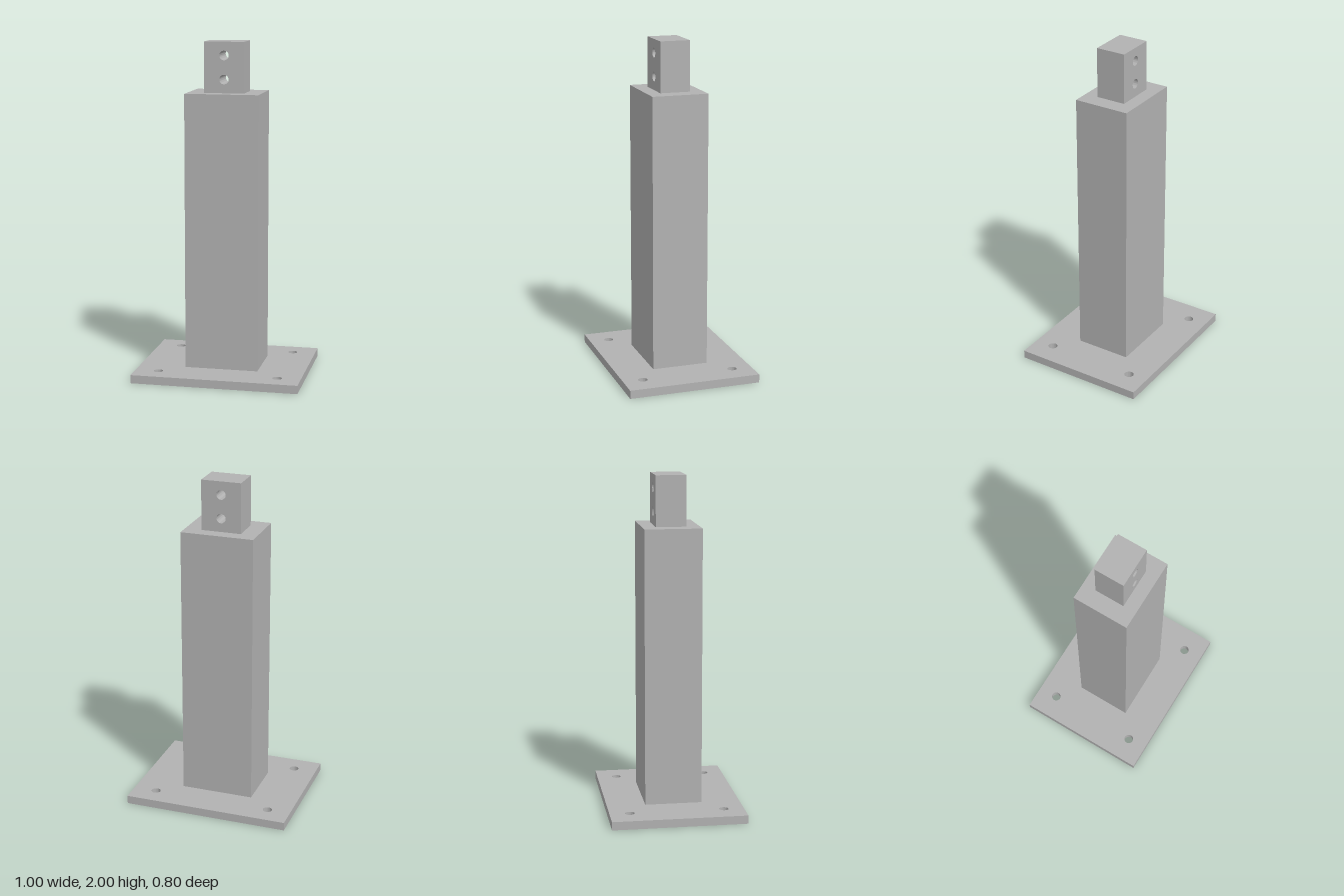
import * as THREE from 'three';
import { toCreasedNormals } from 'three/addons/utils/BufferGeometryUtils.js';

const HOLE_RADIUS = 0.028;

// Rectangular slab centred on the origin in x and y, drilled through along z
function drilledSlab(width, height, depth, holes) {
  const w = width / 2, h = height / 2;
  const shape = new THREE.Shape();
  shape.moveTo(-w, -h).lineTo(w, -h).lineTo(w, h).lineTo(-w, h).closePath();
  for (const [x, y] of holes) {
    shape.holes.push(new THREE.Path().absarc(x, y, HOLE_RADIUS, 0, Math.PI * 2, true));
  }
  const geometry = new THREE.ExtrudeGeometry(shape, { depth, bevelEnabled: false, curveSegments: 32 });
  return toCreasedNormals(geometry, 0.6);
}

export function createModel() {
  const model = new THREE.Group();
  model.name = 'mountingPost';
  const steel = new THREE.MeshStandardMaterial({ color: 0xb2b2b2 });
  steel.name = 'steel grey';

  const add = (name, geometry) => {
    const mesh = new THREE.Mesh(geometry, steel);
    mesh.name = name;
    model.add(mesh);
  };

  // Base plate with four bolt holes
  const corners = [[-0.36, -0.28], [0.36, -0.28], [0.36, 0.28], [-0.36, 0.28]];
  add('basePlate', drilledSlab(1, 0.8, 0.05, corners).rotateX(-Math.PI / 2));

  // Main column
  add('column', new THREE.BoxGeometry(0.44, 1.65, 0.34).translate(0, 0.875, 0));

  // Narrow top block with two holes running front to back
  add('topBlock', drilledSlab(0.24, 0.3, 0.18, [[0, -0.07], [0, 0.07]]).translate(0, 1.85, -0.09));

  return model;
}
